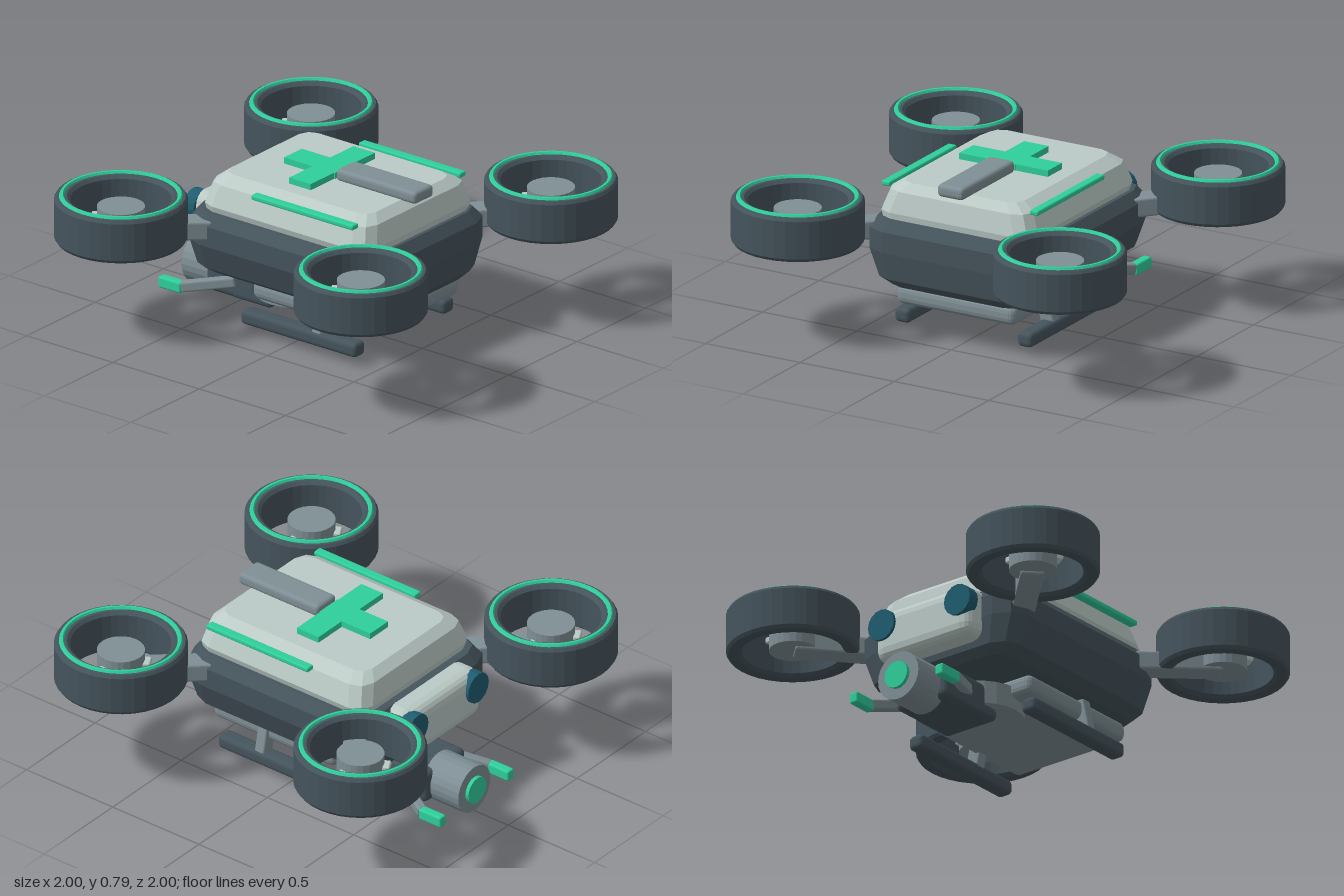
import * as THREE from 'three';
import { RoundedBoxGeometry } from 'three/addons/geometries/RoundedBoxGeometry.js';

const mat = (color) => new THREE.MeshStandardMaterial({ color, flatShading: true });
const dark = mat(0x45545c), mid = mat(0x7f8f95), light = mat(0xbccbc7);
const green = mat(0x2fcf9b), teal = mat(0x1f5c70);

function add(parent, name, geometry, material, x = 0, y = 0, z = 0) {
  const m = new THREE.Mesh(geometry, material);
  m.name = name;
  m.position.set(x, y, z);
  parent.add(m);
  return m;
}

// Bevelled box given by its min and max on each axis
function block(parent, name, material, [x0, x1], [y0, y1], [z0, z1], bevel = 0.01) {
  const g = new RoundedBoxGeometry(x1 - x0, y1 - y0, z1 - z0, 2, bevel);
  return add(parent, name, g, material, (x0 + x1) / 2, (y0 + y1) / 2, (z0 + z1) / 2);
}

// Bevelled bar running from point a to point b
function bar(parent, name, material, a, b, width, height, bevel = 0.01) {
  const p = new THREE.Vector3(...a), q = new THREE.Vector3(...b);
  const m = add(parent, name, new RoundedBoxGeometry(width, height, p.distanceTo(q), 2, bevel), material);
  m.position.copy(p).lerp(q, 0.5);
  m.lookAt(q);
  return m;
}

// Stack of rounded rectangles: each section is [y, halfX, halfZ, cornerRadius]
function loft(sections) {
  const pos = [], idx = [], n = 12;
  for (const [y, hx, hz, r] of sections) {
    for (let k = 0; k < 4; k++) {
      const sx = k === 0 || k === 3 ? 1 : -1, sz = k < 2 ? 1 : -1;
      for (let j = 0; j < 3; j++) {
        const a = (k + j / 2) * Math.PI / 2;
        pos.push(sx * (hx - r) + r * Math.cos(a), y, sz * (hz - r) + r * Math.sin(a));
      }
    }
  }
  const last = sections.length - 1;
  for (let s = 0; s < last; s++) {
    for (let i = 0; i < n; i++) {
      const a = s * n + i, b = s * n + (i + 1) % n;
      idx.push(a, a + n, b, b, a + n, b + n);
    }
  }
  for (let i = 1; i < n - 1; i++) {
    idx.push(0, i, i + 1, last * n, last * n + i + 1, last * n + i);
  }
  const g = new THREE.BufferGeometry();
  g.setAttribute('position', new THREE.Float32BufferAttribute(pos, 3));
  g.setIndex(idx);
  g.computeVertexNormals();
  return g;
}

// Ducted rotor with its motor, stub blades and glowing rim
function rotor(sx, sz) {
  const g = new THREE.Group();
  g.name = 'rotor';
  const profile = [[0.23, 0.475], [0.245, 0.46], [0.295, 0.46], [0.305, 0.475], [0.305, 0.655],
    [0.295, 0.67], [0.245, 0.67], [0.23, 0.655], [0.23, 0.475]].map((p) => new THREE.Vector2(...p));
  add(g, 'duct', new THREE.LatheGeometry(profile, 36), dark);
  const rim = add(g, 'rimLight', new THREE.TorusGeometry(0.27, 0.012, 6, 40), green, 0, 0.67, 0);
  rim.rotation.x = Math.PI / 2;
  add(g, 'motor', new THREE.CylinderGeometry(0.11, 0.11, 0.14, 24), mid, 0, 0.55, 0);
  for (let i = 0; i < 3; i++) {
    const a = i * Math.PI * 2 / 3;
    const blade = add(g, 'bladeStub', new RoundedBoxGeometry(0.06, 0.03, 0.065, 2, 0.008), light,
      0.108 * Math.cos(a), 0.56, 0.108 * Math.sin(a));
    blade.rotation.y = -a;
  }
  g.position.set(sx * 0.695, 0, sz * 0.695);
  return g;
}

export function createModel() {
  const model = new THREE.Group();
  model.name = 'drone';

  // Hull and lid
  add(model, 'hull', loft([[0.25, 0.35, 0.495, 0.08], [0.29, 0.41, 0.53, 0.1], [0.42, 0.46, 0.548, 0.12],
    [0.52, 0.46, 0.548, 0.12], [0.57, 0.42, 0.51, 0.1]]), dark);
  add(model, 'lid', loft([[0.555, 0.395, 0.48, 0.07], [0.6, 0.41, 0.487, 0.08],
    [0.7, 0.375, 0.465, 0.08], [0.737, 0.31, 0.42, 0.06]]), light, 0, 0, 0.01);

  // Lid fittings
  const cross = new THREE.Shape([[-0.065, -0.045], [0.065, -0.045], [0.065, -0.04], [0.235, -0.04],
    [0.235, 0.085], [0.065, 0.085], [0.065, 0.25], [-0.065, 0.25], [-0.065, 0.085], [-0.235, 0.085],
    [-0.235, -0.04], [-0.065, -0.04]].map((p) => new THREE.Vector2(...p)));
  add(model, 'crossMarking', new THREE.ExtrudeGeometry(cross, { depth: 0.035, bevelEnabled: false }),
    green, 0, 0.732, 0).rotation.x = -Math.PI / 2;
  block(model, 'topBar', mid, [-0.07, 0.07], [0.73, 0.79], [0.05, 0.515], 0.02);

  // Sensor head at the back
  block(model, 'head', light, [-0.28, 0.28], [0.32, 0.57], [-0.637, -0.44], 0.06);

  // Belly plate and turret
  block(model, 'bellyPlate', mid, [-0.317, 0.317], [0.155, 0.25], [-0.24, 0.47], 0.035);
  add(model, 'turret', new THREE.CylinderGeometry(0.21, 0.21, 0.11, 24), mid, 0, 0.155, -0.21);
  block(model, 'turretNeck', mid, [-0.11, 0.11], [0.1, 0.205], [-0.45, -0.2], 0.01);
  block(model, 'toolHousing', dark, [-0.15, 0.15], [0.04, 0.2], [-0.64, -0.34], 0.03);
  block(model, 'housingBase', dark, [-0.15, 0.15], [0.04, 0.105], [-0.5, -0.26], 0.025);

  // Nozzle with a lit end
  add(model, 'nozzle', new THREE.CylinderGeometry(0.117, 0.117, 0.205, 24), mid, 0, 0.117, -0.7)
    .rotation.x = Math.PI / 2;
  add(model, 'nozzleLight', new THREE.CylinderGeometry(0.065, 0.065, 0.025, 20), green, 0, 0.117, -0.808)
    .rotation.x = Math.PI / 2;

  for (const s of [-1, 1]) {
    const span = (a, b) => (s > 0 ? [a, b] : [-b, -a]);
    block(model, 'sideLight', green, span(0.37, 0.415), [0.695, 0.72], [-0.165, 0.425], 0.008);
    add(model, 'eye', new THREE.CylinderGeometry(0.075, 0.075, 0.06, 16), teal, s * 0.22, 0.49, -0.622)
      .rotation.x = Math.PI / 2;

    // Landing skid and its strut
    block(model, 'skid', dark, span(0.285, 0.365), [0.04, 0.11], [-0.27, 0.4], 0.022);
    bar(model, 'skidStrut', mid, [s * 0.285, 0.27, 0.165], [s * 0.325, 0.08, 0.165], 0.055, 0.07);

    // Gripper finger
    bar(model, 'gripperLink', mid, [s * 0.14, 0.125, -0.47], [s * 0.248, 0.075, -0.7], 0.045, 0.05);
    block(model, 'gripperTip', green, span(0.225, 0.27), [0.045, 0.1], [-0.82, -0.69], 0.01);

    // Rotors and their arms
    for (const sz of [-1, 1]) {
      model.add(rotor(s, sz));
      bar(model, 'rotorArm', mid, [s * 0.385, 0.495, sz * 0.385], [s * 0.69, 0.51, sz * 0.69], 0.11, 0.09);
    }
  }
  return model;
}
